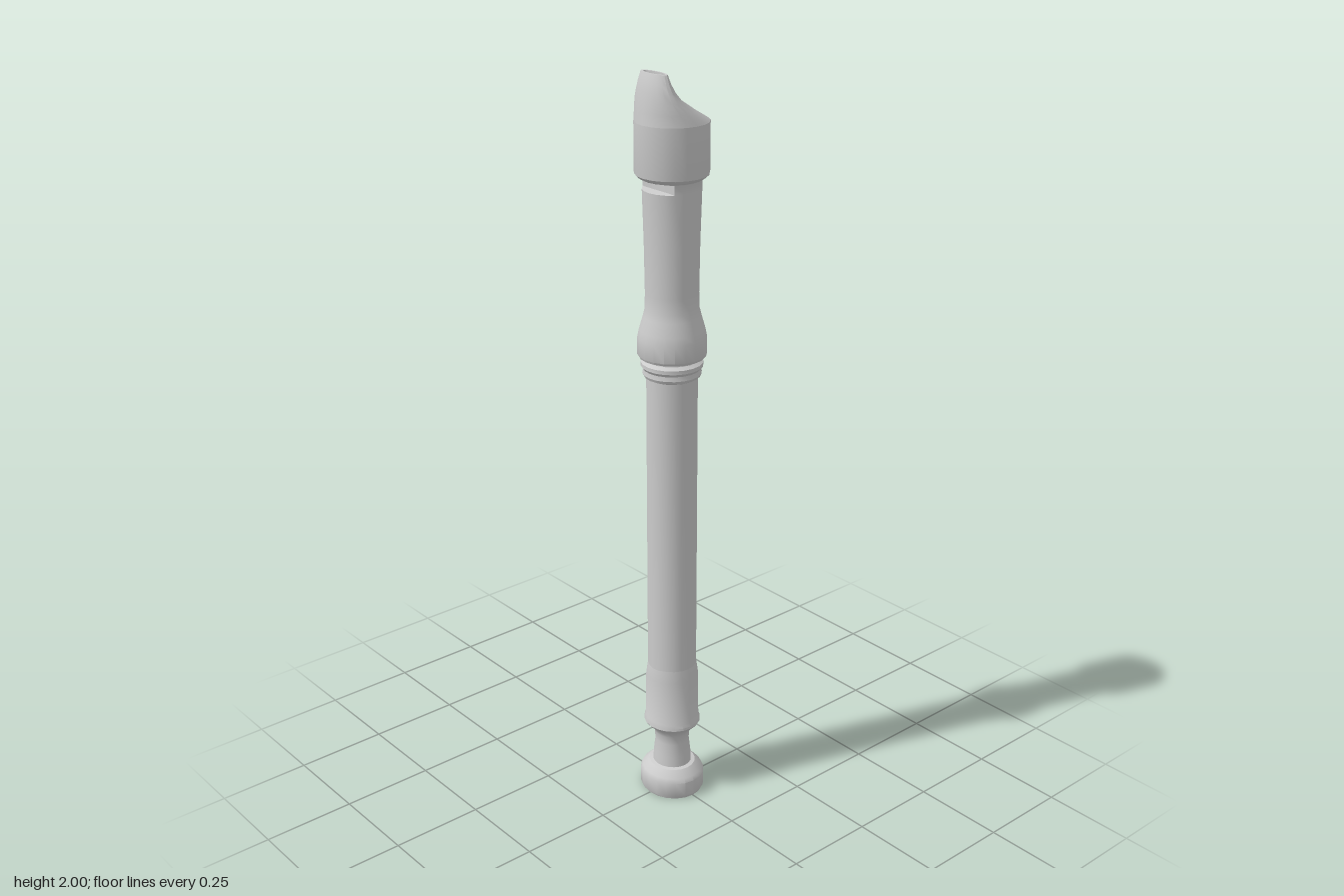
import * as THREE from 'three';
import { toCreasedNormals } from 'three/addons/utils/BufferGeometryUtils.js';

const SIDES = 20;
const material = new THREE.MeshStandardMaterial({ color: 0xcccccc });

// Turned part from [radius, y] pairs; an optional rule moves each vertex (row, vertex).
function turned(name, profile, rule) {
  const points = profile.map(([r, y]) => new THREE.Vector2(r, y));
  const geometry = new THREE.LatheGeometry(points, SIDES);
  if (rule) {
    const pos = geometry.attributes.position;
    const v = new THREE.Vector3();
    for (let i = 0; i < pos.count; i++) {
      v.fromBufferAttribute(pos, i);
      rule(v, i % profile.length);
      pos.setXYZ(i, v.x, v.y, v.z);
    }
  }
  const mesh = new THREE.Mesh(toCreasedNormals(geometry, 0.55), material);
  mesh.name = name;
  return mesh;
}

export function createModel() {
  const group = new THREE.Group();
  group.name = 'recorder';

  // Foot joint: bore, flared bell, waist and socket, slightly flattened front to back
  group.add(turned('footJoint', [
    [0, 0.3], [0.036, 0.3], [0.038, 0.1], [0.058, 0.03], [0.06, 0],
    [0.088, 0], [0.092, 0.008], [0.092, 0.05], [0.086, 0.062], [0.066, 0.08], [0.055, 0.082],
    [0.053, 0.11], [0.048, 0.15], [0.05, 0.175], [0.058, 0.193], [0.073, 0.205],
    [0.079, 0.213], [0.079, 0.22], [0.075, 0.228], [0.072, 0.36], [0.067, 0.395],
  ], (v) => { v.z *= 0.92 + 0.06 * Math.min(1, v.y / 0.35); }));

  // Long middle tube
  group.add(turned('bodyTube', [[0.066, 0.34], [0.066, 1.25]]));

  // Ring at the top of the body
  group.add(turned('bodyRing', [
    [0.062, 1.225], [0.072, 1.23], [0.076, 1.238], [0.074, 1.25], [0.08, 1.258],
    [0.08, 1.268], [0.07, 1.275], [0.066, 1.295],
  ]));

  // Head joint: the two middle rows of the window are pressed in at the front
  const head = [
    [0.06, 1.283], [0.085, 1.283], [0.089, 1.29], [0.088, 1.335], [0.084, 1.355],
    [0.074, 1.39], [0.069, 1.41], [0.068, 1.45], [0.07, 1.58], [0.074, 1.714],
    [0.074, 1.716], [0.075, 1.738], [0.076, 1.74], [0.084, 1.744], [0.092, 1.752],
    [0.093, 1.757], [0.093, 1.88],
  ];
  group.add(turned('headJoint', head, (v, row) => {
    if ((row === 10 || row === 11) && v.z > 0 && Math.abs(v.x) < 0.045) v.z = 0.045;
  }));

  // Beak: oval rows given as [y, back z, front z, half width], ending in the windway
  const rows = [
    [1.88, -0.093, 0.093, 0.093], [1.908, -0.045, 0.09, 0.083], [1.935, -0.002, 0.087, 0.071],
    [1.957, 0.019, 0.083, 0.062], [1.978, 0.031, 0.079, 0.054], [2, 0.04, 0.071, 0.046],
    [2, 0.044, 0.067, 0.037], [1.985, 0.044, 0.067, 0.037], [1.985, 0.0555, 0.0555, 0],
  ];
  group.add(turned('beak', rows.map(([y]) => [1, y]), (v, row) => {
    const [, back, front, half] = rows[row];
    v.x *= half;
    v.z = (front + back) / 2 + v.z * (front - back) / 2;
  }));

  return group;
}
